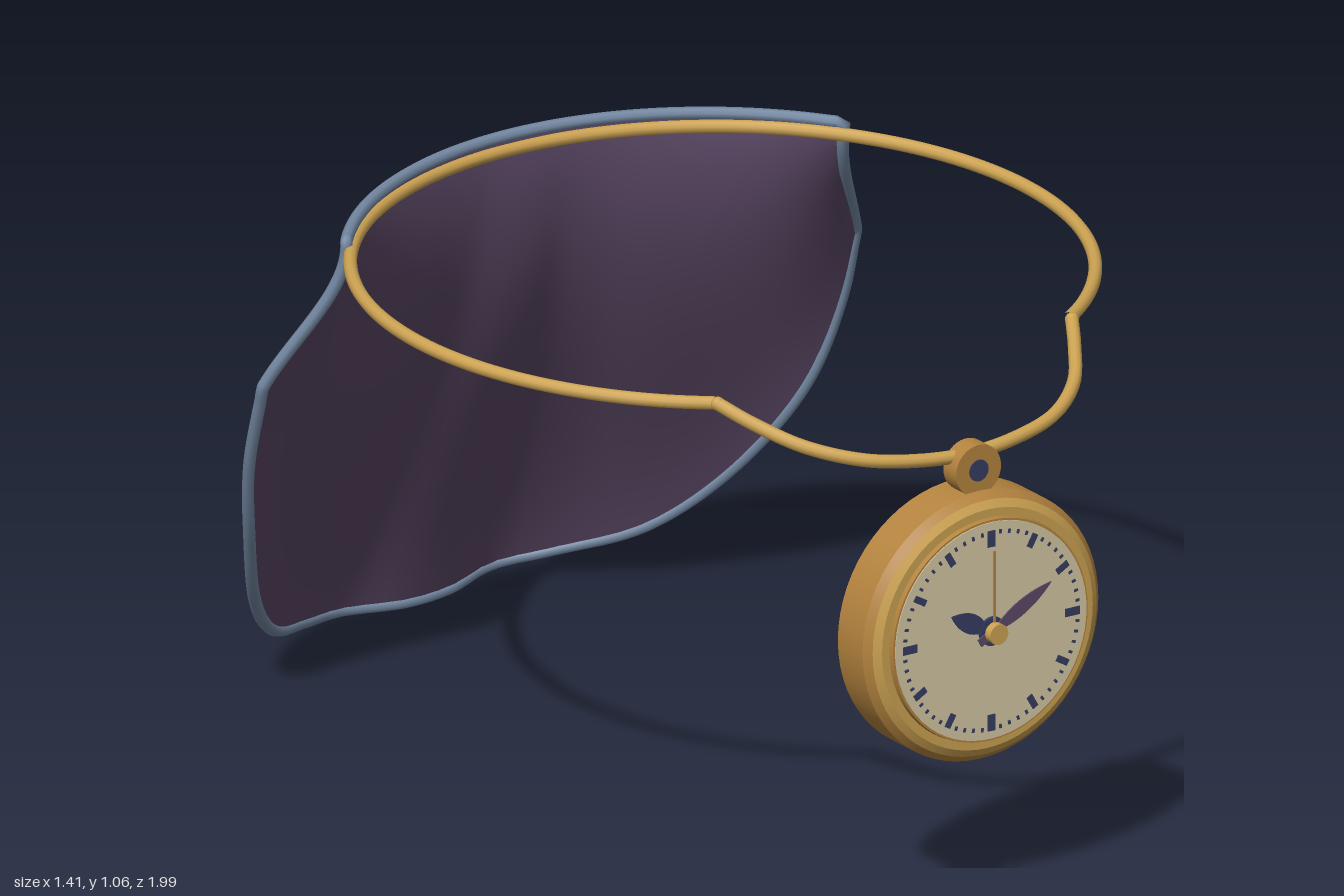
import * as THREE from 'three';

const mat = (name, color) => Object.assign(new THREE.MeshStandardMaterial({ color }), { name });
const V = (x, y, z) => new THREE.Vector3(x, y, z);

export function createModel() {
  const gold = mat('gold', 0xcda352), brass = mat('brass', 0xb5843f), cream = mat('cream', 0xd6c8a4);
  const navy = mat('navy', 0x353e62), purple = mat('purple', 0x5b4866), trimBlue = mat('trim blue', 0x7489a3);
  const model = new THREE.Group();
  const add = (parent, name, geometry, material, x = 0, y = 0, z = 0) => {
    const mesh = new THREE.Mesh(geometry, material);
    mesh.name = name;
    mesh.position.set(x, y, z);
    parent.add(mesh);
    return mesh;
  };

  // Collar: an open ellipse, tilted slightly down to the front
  const ringPoint = (a) => {
    const z = 0.09 - 0.675 * Math.cos(a);
    return V(0.693 * Math.sin(a), 1.001 - 0.032 * z, z);
  };
  const end = Math.PI - Math.asin(0.395 / 0.693);
  const arc = [];
  for (let i = 0; i <= 60; i++) arc.push(ringPoint(end * (i / 30 - 1)));
  add(model, 'collarRing', new THREE.TubeGeometry(new THREE.CatmullRomCurve3(arc), 160, 0.013, 10), gold);

  // Hanging front wire
  const half = [[0.395, 0.982, 0.655], [0.36, 0.955, 0.715], [0.3, 0.922, 0.8], [0.21, 0.897, 0.865], [0.1, 0.882, 0.893]];
  const drop = [
    ...half.map(([x, y, z]) => V(-x, y, z)), V(0, 0.877, 0.9),
    ...half.slice().reverse().map(([x, y, z]) => V(x, y, z)),
  ];
  add(model, 'frontWire', new THREE.TubeGeometry(new THREE.CatmullRomCurve3(drop), 80, 0.013, 10), gold);
  for (const s of [-1, 1]) add(model, 'wireJoint', new THREE.SphereGeometry(0.0135, 12, 8), gold, s * 0.395, 0.982, 0.655);

  // Cape: columns run from the collar arc down to the wavy hem
  const hem = new THREE.CatmullRomCurve3([
    [-0.662, 0.73, -0.445], [-0.642, 0.55, -0.52], [-0.593, 0.38, -0.592], [-0.495, 0.185, -0.715],
    [-0.38, 0.075, -0.825], [-0.25, 0.034, -0.918], [-0.14, 0.02, -0.962], [0, 0.014, -0.945],
    [0.1, 0.018, -0.953], [0.21, 0.032, -0.982], [0.32, 0.054, -0.932], [0.44, 0.11, -0.815],
    [0.55, 0.23, -0.7], [0.635, 0.42, -0.575], [0.675, 0.6, -0.515], [0.68, 0.75, -0.475],
  ].map((p) => V(...p)));
  const NU = 64, NV = 28;
  const capePoint = (i, j) => {
    const u = (2 * i) / NU - 1, v = j / NV, a = u * 0.906;
    const top = V(0.705 * Math.sin(a), 0, 0.09 - 0.68 * Math.cos(a));
    top.y = 1.03 + (-0.327 - top.z) * 0.06;
    const inward = V(-top.x, 0, 0.09 - top.z).normalize();
    const sag = 0.5 * v * (1 - v) ** 2 * (1 - 0.65 * u * u);
    return top.lerp(hem.getPointAt(i / NU), v).addScaledVector(inward, sag);
  };
  const capeSheet = (shift, flip) => {
    const pos = [], index = [];
    for (let j = 0; j <= NV; j++) for (let i = 0; i <= NU; i++) pos.push(...capePoint(i, j).toArray());
    for (let j = 0; j < NV; j++) for (let i = 0; i < NU; i++) {
      const a = j * (NU + 1) + i, b = a + NU + 1;
      index.push(...(flip ? [a, a + 1, b, b, a + 1, b + 1] : [a, b, a + 1, b, b + 1, a + 1]));
    }
    const g = new THREE.BufferGeometry();
    g.setAttribute('position', new THREE.Float32BufferAttribute(pos, 3));
    g.setIndex(index);
    g.computeVertexNormals();
    const p = g.attributes.position, n = g.attributes.normal;
    for (let k = 0; k < p.count; k++) {
      p.setXYZ(k, p.getX(k) + n.getX(k) * shift, p.getY(k) + n.getY(k) * shift, p.getZ(k) + n.getZ(k) * shift);
    }
    return g;
  };
  const cape = new THREE.Group();
  cape.name = 'cape';
  model.add(cape);
  add(cape, 'capeLining', capeSheet(0.005, false), purple);
  add(cape, 'capeOuter', capeSheet(0.005, true), navy);

  // Piping around the whole cape edge
  const edge = [];
  for (let i = 0; i < NU; i++) edge.push(capePoint(i, 0));
  for (let j = 0; j < NV; j++) edge.push(capePoint(NU, j));
  for (let i = NU; i > 0; i--) edge.push(capePoint(i, NV));
  for (let j = NV; j > 0; j--) edge.push(capePoint(0, j));
  add(cape, 'capeTrim', new THREE.TubeGeometry(new THREE.CatmullRomCurve3(edge, true), 400, 0.012, 8, true), trimBlue);

  // Pocket watch, built around its own centre
  const watch = new THREE.Group();
  watch.name = 'watch';
  watch.position.set(0, 0.55, 0);
  model.add(watch);
  const disc = (name, rBack, rFront, z0, z1, material, y = 0, x = 0) =>
    add(watch, name, new THREE.CylinderGeometry(rFront, rBack, z1 - z0, 64).rotateX(Math.PI / 2), material, x, y, (z0 + z1) / 2);
  disc('watchCase', 0.263, 0.263, 0.855, 0.936, brass);
  disc('caseBevel', 0.263, 0.25, 0.936, 0.95, brass);
  disc('bezel', 0.25, 0.235, 0.95, 0.959, gold);
  disc('dialRim', 0.219, 0.217, 0.955, 0.969, brass);
  disc('dial', 0.213, 0.213, 0.965, 0.971, cream);

  // Hour and minute marks
  for (let k = 0; k < 60; k++) {
    const hour = k % 5 === 0, quarter = k % 15 === 0;
    const len = quarter ? 0.032 : hour ? 0.028 : 0.008, wide = quarter ? 0.016 : hour ? 0.013 : 0.005;
    const a = (k * Math.PI) / 30, r = 0.197 - len / 2;
    const mark = add(watch, hour ? 'hourMark' : 'minuteMark', new THREE.BoxGeometry(wide, len, 0.003), navy,
      r * Math.sin(a), r * Math.cos(a), 0.9715);
    mark.rotation.z = -a;
  }

  // Leaf-shaped hands
  const hand = (name, length, width, angle, z, material) => {
    const s = new THREE.Shape();
    s.moveTo(-0.008, -0.035);
    s.lineTo(0.008, -0.035);
    s.lineTo(0.008, 0.02);
    s.quadraticCurveTo(width, length * 0.55, 0, length);
    s.quadraticCurveTo(-width, length * 0.55, -0.008, 0.02);
    const g = new THREE.ExtrudeGeometry(s, { depth: 0.003, bevelEnabled: false });
    add(watch, name, g, material, 0, 0, z).rotation.z = angle;
  };
  hand('hourHand', 0.102, 0.034, 1.1, 0.973, navy);
  hand('minuteHand', 0.148, 0.024, -1.06, 0.977, purple);
  add(watch, 'secondHand', new THREE.BoxGeometry(0.005, 0.16, 0.003), brass, 0, 0.08, 0.982);
  disc('handHub', 0.028, 0.028, 0.971, 0.977, navy);
  disc('centrePin', 0.02, 0.02, 0.981, 0.998, gold);

  // Hanging loop above the case
  disc('hangingLoop', 0.05, 0.05, 0.888, 0.93, brass, 0.303);
  disc('loopEye', 0.021, 0.021, 0.886, 0.932, navy, 0.303);
  return model;
}
